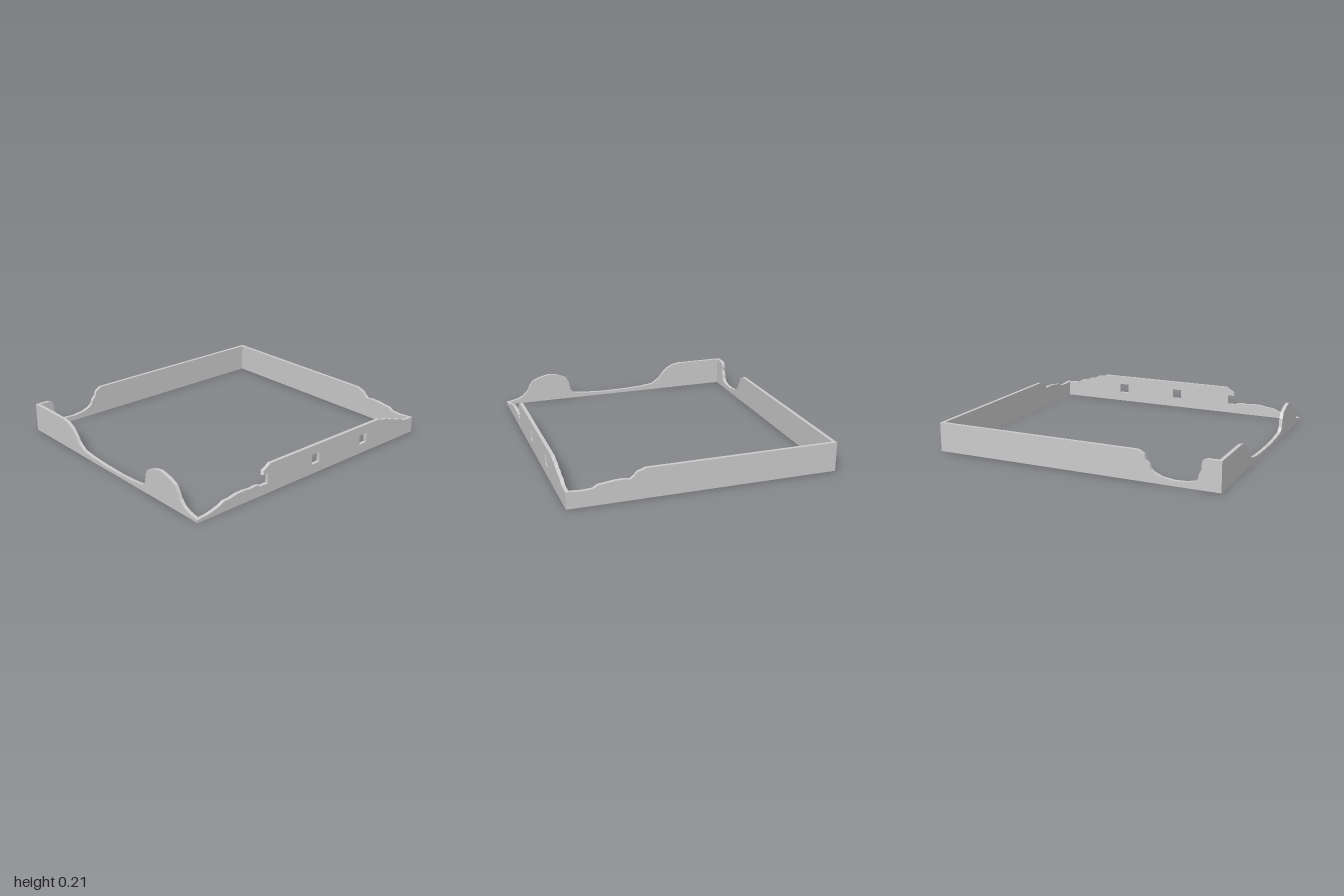
import * as THREE from 'three';

const T = 0.024;   // wall thickness
const X = 1;       // half width
const Z = 0.9;     // half depth
const H = 0.2;     // intact wall height

const material = new THREE.MeshStandardMaterial({ color: 0xcccccc, flatShading: true });

// Upright slab: flat base, broken top edge given from low to high, optional square holes
function wall(name, top, holes = []) {
  const first = top[0], last = top[top.length - 1];
  const shape = new THREE.Shape([
    [first[0], 0], [last[0], 0], ...top.slice().reverse(),
  ].map(([a, y]) => new THREE.Vector2(a, y)));
  for (const [cx, cy, s] of holes) {
    const r = s / 2;
    shape.holes.push(new THREE.Path([
      [cx - r, cy - r], [cx - r, cy + r], [cx + r, cy + r], [cx + r, cy - r],
    ].map(([a, y]) => new THREE.Vector2(a, y))));
  }
  const mesh = new THREE.Mesh(
    new THREE.ExtrudeGeometry(shape, { depth: T, bevelEnabled: false }), material);
  mesh.name = name;
  return mesh;
}

export function createModel() {
  const group = new THREE.Group();
  group.name = 'ruinedWalls';

  // Front wall: collapsed right corner, one window broken open, two whole windows
  const front = wall('frontWall', [
    [-X, 0.02], [-0.93, 0.025], [-0.88, 0.035], [-0.83, 0.05], [-0.79, 0.068], [-0.74, 0.072],
    [-0.69, 0.082], [-0.63, 0.084], [-0.58, 0.078], [-0.53, 0.082], [-0.5, 0.078],
    [-0.5, 0.068], [-0.43, 0.068], [-0.43, 0.137], [-0.475, 0.137], [-0.465, 0.152],
    [-0.475, 0.16], [-0.44, 0.18], [-0.41, H],
    [0.63, H], [0.66, 0.188], [0.71, 0.182], [0.74, 0.165], [0.77, 0.162], [0.81, 0.145],
    [0.86, 0.138], [0.895, 0.116], [0.95, 0.112], [X, 0.112],
  ], [[0, 0.103, 0.07], [0.465, 0.103, 0.07]]);
  front.position.z = Z - T;

  // Back wall: one deep breach near the right corner
  const back = wall('backWall', [
    [-X, H], [-0.905, H], [-0.88, 0.19], [-0.87, 0.165], [-0.872, 0.13], [-0.855, 0.1],
    [-0.85, 0.07], [-0.83, 0.05], [-0.78, 0.038], [-0.7, 0.034], [-0.62, 0.045],
    [-0.57, 0.065], [-0.545, 0.085], [-0.535, 0.115], [-0.51, 0.14], [-0.5, 0.175],
    [-0.475, 0.19], [-0.455, H], [X, H],
  ]);
  back.position.z = -Z;

  // Side walls run along z between the front and back walls
  const left = wall('leftWall', [
    [-Z + T, H], [0.4, H], [0.42, 0.19], [0.45, 0.182], [0.475, 0.155], [0.495, 0.14],
    [0.54, 0.145], [0.6, 0.143], [0.65, 0.135], [0.7, 0.13], [0.73, 0.11],
    [0.8, 0.106], [Z - T, 0.112],
  ]);
  left.rotation.y = -Math.PI / 2;
  left.position.x = X;

  const right = wall('rightWall', [
    [-Z + T, H], [-0.53, H], [-0.48, 0.19], [-0.43, 0.165], [-0.39, 0.125], [-0.36, 0.085],
    [-0.3, 0.045], [-0.2, 0.032], [-0.05, 0.025], [0.12, 0.023], [0.26, 0.03], [0.36, 0.042],
    [0.39, 0.07], [0.4, 0.13], [0.42, 0.17], [0.46, 0.188], [0.5, 0.202], [0.55, 0.21],
    [0.59, 0.203], [0.64, 0.19], [0.69, 0.168], [0.715, 0.13], [0.735, 0.09],
    [0.77, 0.055], [0.81, 0.035], [Z - T, 0.02],
  ]);
  right.rotation.y = -Math.PI / 2;
  right.position.x = -X + T;

  group.add(front, back, left, right);
  return group;
}
